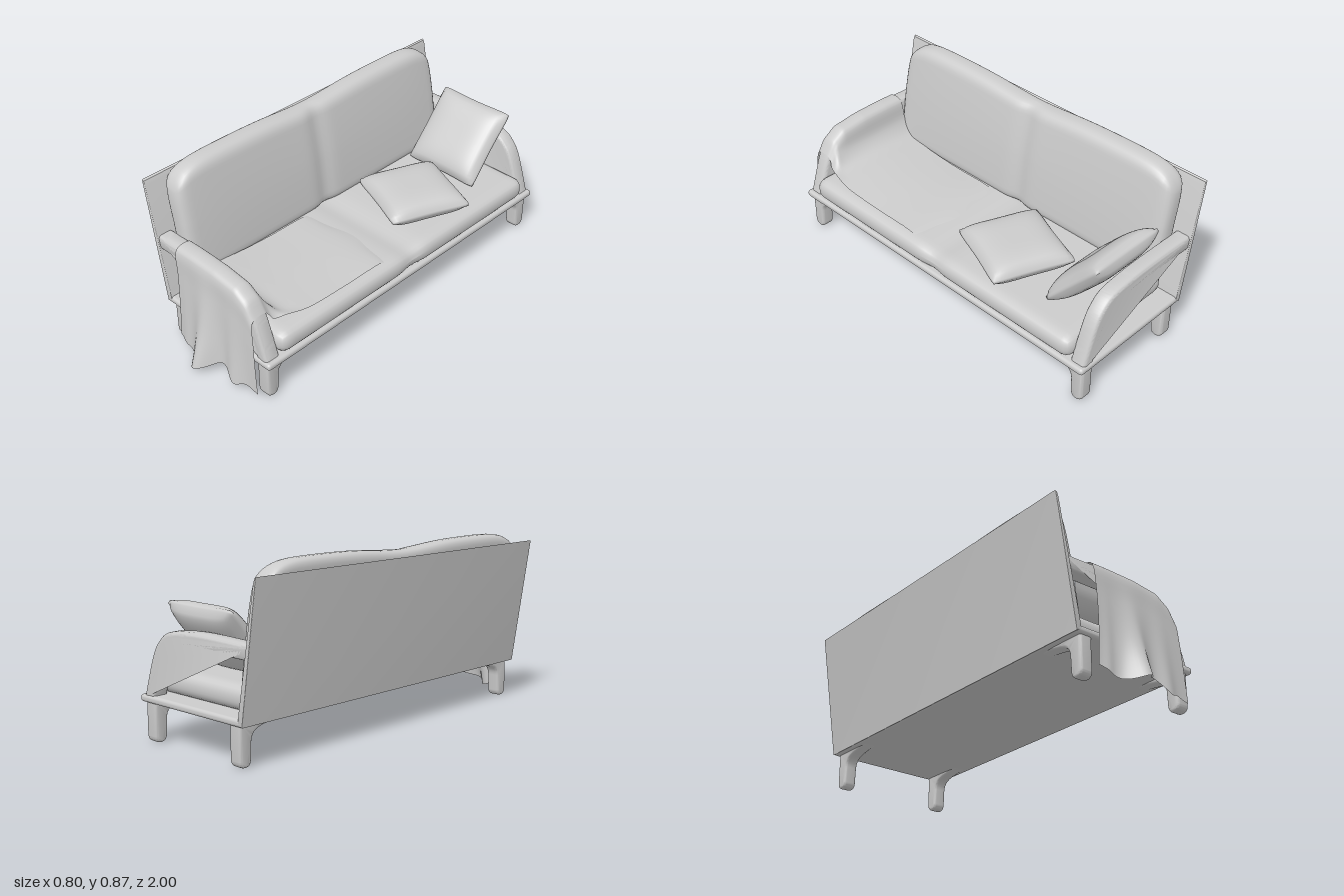
import * as THREE from 'three';
import { mergeVertices, toCreasedNormals } from 'three/addons/utils/BufferGeometryUtils.js';
import { RoundedBoxGeometry } from 'three/addons/geometries/RoundedBoxGeometry.js';

const MID = -0.06; // z of the sofa's middle; the throw overhangs the +z end
const material = new THREE.MeshStandardMaterial({ color: 0xcccccc });
const clothMaterial = new THREE.MeshStandardMaterial({ color: 0xcccccc, side: THREE.DoubleSide });
const v2 = (p) => new THREE.Vector2(p[0], p[1]);
const bump = (d, width) => Math.exp(-((d / width) ** 2));

// Move every vertex by a rule, then weld and smooth
function reshape(geometry, rule) {
  geometry.deleteAttribute('uv');
  geometry.deleteAttribute('normal');
  const g = mergeVertices(geometry);
  const pos = g.attributes.position;
  const v = new THREE.Vector3();
  for (let i = 0; i < pos.count; i++) {
    rule(v.fromBufferAttribute(pos, i));
    pos.setXYZ(i, v.x, v.y, v.z);
  }
  g.computeVertexNormals();
  return g;
}

// Rounded cushion block with enough divisions to be bent by a rule
function softBox(w, h, d, r, segs, rule) {
  const inner = new THREE.Vector3(w / 2 - r, h / 2 - r, d / 2 - r);
  const low = inner.clone().negate();
  return reshape(new THREE.BoxGeometry(w, h, d, ...segs), (v) => {
    const core = v.clone().clamp(low, inner);
    v.sub(core).setLength(r).add(core);
    rule(v);
  });
}

// Scatter pillow: full in the middle, thin at the seams
function pillow(w, d, thick) {
  return reshape(new THREE.BoxGeometry(2, 2, 2, 24, 2, 24), (v) => {
    const { x: u, z: t } = v;
    const fill = Math.pow(Math.max(0, (1 - u ** 4) * (1 - t ** 4)), 0.55);
    v.y *= 0.008 + (thick / 2 - 0.008) * fill;
    v.x = u * w / 2 * (1 - 0.035 * (1 - t * t)) * (1 - 0.03 * t ** 8);
    v.z = t * d / 2 * (1 - 0.035 * (1 - u * u)) * (1 - 0.03 * u ** 8);
  });
}

// Bevelled slab of an outline, centred on z = 0
function slab(shape, depth, bevel) {
  const g = new THREE.ExtrudeGeometry(shape, {
    depth: depth - 2 * bevel, bevelEnabled: true, bevelSize: bevel, bevelThickness: bevel,
    bevelOffset: -bevel, bevelSegments: 4, curveSegments: 14,
  });
  g.translate(0, 0, -depth / 2 + bevel);
  return toCreasedNormals(g, 0.7);
}

// Upper edge of the armrest as seen from the end
const ARM_TOP = [[-0.35, 0.54], [-0.1, 0.545], [0.05, 0.542], [0.19, 0.525], [0.26, 0.48], [0.31, 0.4], [0.375, 0.21]];
function armHeight(x) {
  for (let i = 1; i < ARM_TOP.length; i++) {
    const [a, b] = [ARM_TOP[i - 1], ARM_TOP[i]];
    if (x <= b[0]) return a[1] + (b[1] - a[1]) * (x - a[0]) / (b[0] - a[0]);
  }
  return 0.21;
}

function armGeometry() {
  const s = new THREE.Shape();
  s.moveTo(...ARM_TOP[0]);
  s.splineThru(ARM_TOP.slice(1).map(v2));
  s.lineTo(0.305, 0.21);
  s.splineThru([[0.255, 0.36], [0.21, 0.435], [0.14, 0.465], [0, 0.472], [-0.34, 0.47]].map(v2));
  s.closePath();
  return slab(s, 0.08, 0.018);
}

// Leg with a bracket sweeping inwards under the rail (toward -x of the outline)
function legGeometry() {
  const s = new THREE.Shape();
  s.moveTo(0.035, 0.2);
  s.lineTo(0.035, 0.035);
  s.quadraticCurveTo(0.033, 0, 0, 0);
  s.quadraticCurveTo(-0.03, 0, -0.032, 0.035);
  s.lineTo(-0.035, 0.11);
  s.bezierCurveTo(-0.04, 0.165, -0.08, 0.172, -0.24, 0.188);
  s.lineTo(-0.24, 0.2);
  s.closePath();
  return slab(s, 0.068, 0.014);
}

// Throw: a grid of cross-sections from the seat, over the arm, to the floor
function throwGeometry() {
  const nu = 44, nt = 56, pos = [], idx = [];
  for (let i = 0; i <= nu; i++) {
    const u = i / nu;
    const across = (right, left = -0.2) => left + (right - left) * u;
    const xs = across(0.35, -0.175), xa = across(0.3), xh = across(0.33);
    const top = armHeight(xa) + 0.008;
    const fold = 0.1 * bump(xh, 0.07) + 0.03 * bump(xh - 0.19, 0.05) + 0.012 * bump(xh + 0.15, 0.03);
    const hem = 0.04 - 0.028 * bump(xh + 0.07, 0.07) + 0.035 * bump(xh - 0.11, 0.05)
      - 0.022 * bump(xh - 0.2, 0.035) - 0.018 * bump(xh - 0.33, 0.05) + 0.015 * bump(xh + 0.2, 0.04);
    const edge = 0.02 * Math.sin(u * 9) + 0.04 * (2 * u - 1) ** 8;
    const lift = 0.012 * Math.sin(Math.PI * u);
    const curve = new THREE.CatmullRomCurve3([
      [xs, 0.322, 0.03 + edge], [xs, 0.338 + lift * 0.5, 0.12], [xs, 0.343 + lift, 0.36],
      [across(0.35, -0.18), 0.358 + lift, 0.6], [across(0.33, -0.185), 0.375 + lift, 0.71],
      [across(0.31), Math.min(0.44, top - 0.05), 0.765],
      [xa, top - 0.02, 0.785], [xa, top, 0.805], [xa, top, 0.86], [xa, top - 0.02, 0.882],
      [across(0.31, -0.19), hem + (top - hem) * 0.72, 0.89 + fold * 0.1],
      [across(0.32, -0.19), hem + (top - hem) * 0.35, 0.895 + fold * 0.45],
      [xh, hem, 0.897 + fold],
    ].map((p) => new THREE.Vector3(...p)));
    for (let j = 0; j <= nt; j++) pos.push(...curve.getPoint(j / nt).toArray());
  }
  const n = nt + 1;
  for (let i = 0; i < nu; i++) for (let j = 0; j < nt; j++) {
    const a = i * n + j;
    idx.push(a, a + 1, a + n, a + 1, a + n + 1, a + n);
  }
  const g = new THREE.BufferGeometry();
  g.setAttribute('position', new THREE.Float32BufferAttribute(pos, 3));
  g.setIndex(idx);
  g.computeVertexNormals();
  return g;
}

export function createModel() {
  const model = new THREE.Group();
  model.name = 'sofa';
  const add = (name, geometry, x, y, z, mat = material) => {
    const mesh = new THREE.Mesh(geometry, mat);
    mesh.name = name;
    mesh.position.set(x, y, z);
    model.add(mesh);
    return mesh;
  };

  // Seat platform
  add('seatPlatform', new RoundedBoxGeometry(0.695, 0.035, 1.88, 4, 0.015), 0.0475, 0.2025, MID);

  // Leaning back panel
  const panel = new THREE.Shape([[-0.3, 0.188], [-0.272, 0.2], [-0.28, 0.25], [-0.383, 0.8], [-0.39, 0.82], [-0.4, 0.825]].map(v2));
  add('backPanel', slab(panel, 1.88, 0.003), 0, 0, MID);

  // Legs and arms, mirrored to both ends
  const leg = legGeometry(), arm = armGeometry();
  for (const end of [1, -1]) {
    add('arm', arm, 0, 0, MID + end * 0.892);
    for (const x of [-0.237, 0.335]) add('leg', leg, x, 0, MID + end * 0.892).rotation.y = -end * Math.PI / 2;
  }

  // Seat cushion with a shallow dip between the two places
  add('seatCushion', softBox(0.672, 0.115, 1.72, 0.052, [24, 8, 64], (v) => {
    if (v.y > 0) v.y -= 0.016 * bump(v.z, 0.07);
    v.x -= 0.012 * bump(v.z, 0.06) * Math.max(0, v.x / 0.336);
  }), 0.063, 0.275, MID);

  // Back cushion: leaning, rounded at the upper corners, creased in the middle
  add('backCushion', softBox(0.115, 0.56, 1.72, 0.045, [8, 28, 72], (v) => {
    const up = v.y / 0.28, side = Math.abs(v.z) / 0.86;
    if (v.x > 0) v.x += 0.012 * (1 - up * up) * (1 - side ** 6) - 0.016 * bump(v.z, 0.05);
    v.x -= 0.043 * up;
    if (up > 0) {
      v.y -= up * (0.075 * side ** 14 + 0.022 * bump(v.z, 0.25));
      v.z *= 1 - 0.02 * up ** 4;
    }
  }), -0.28, 0.595, MID);

  // Scatter pillows
  add('leaningPillow', pillow(0.425, 0.42, 0.125), 0.045, 0.495, -0.797).rotation.x = 0.85;
  add('flatPillow', pillow(0.415, 0.42, 0.125), 0.126, 0.396, -0.356).rotation.y = -0.39;

  // Throw over the arm
  add('throwBlanket', throwGeometry(), 0, 0, 0, clothMaterial);
  return model;
}
